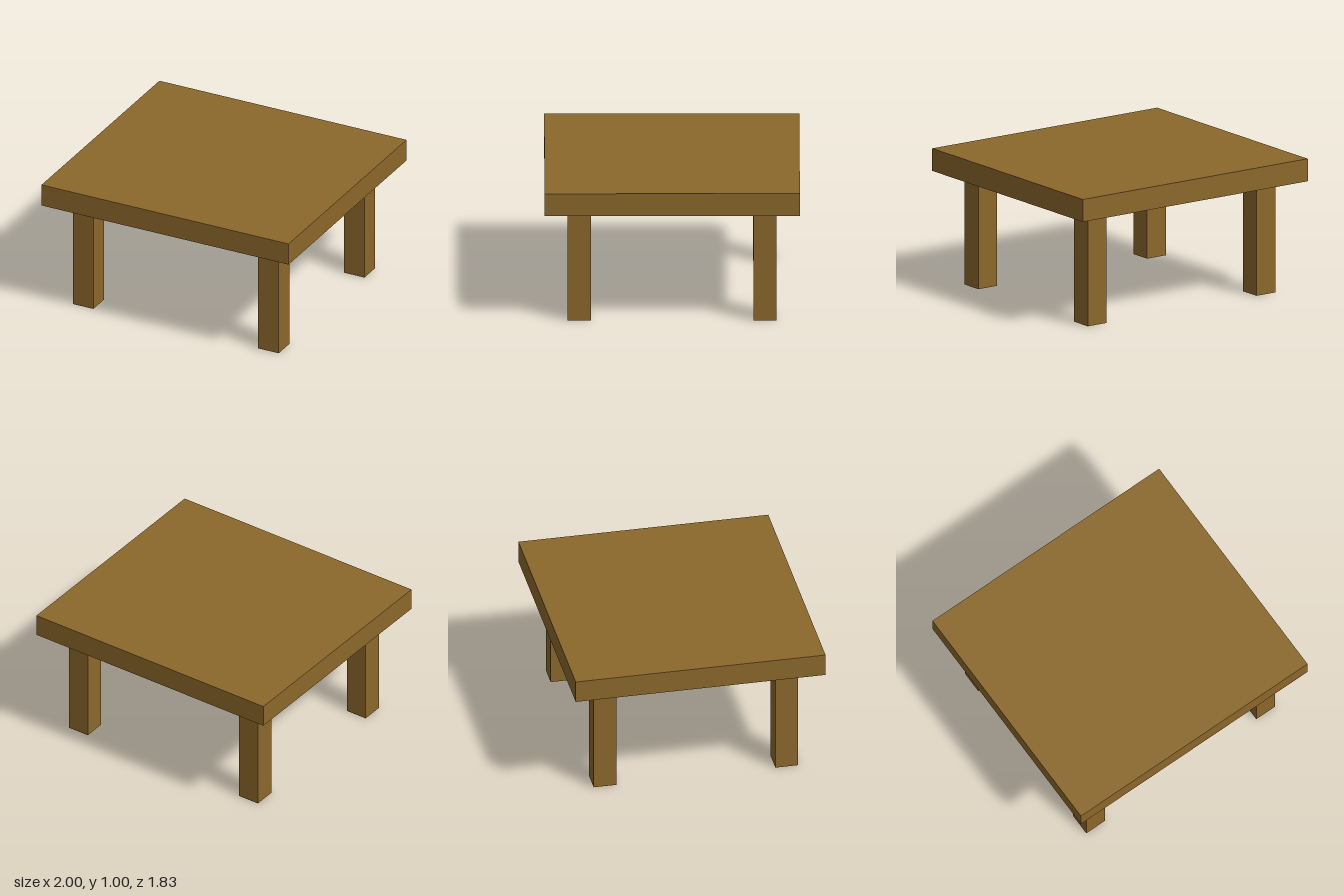
import * as THREE from 'three';

const U = 1 / 12; // modelling unit

export function createModel() {
  const table = new THREE.Group();
  table.name = 'table';

  const wood = new THREE.MeshStandardMaterial({ color: 0x8c682b });
  wood.name = 'brown wood';

  // Box given by size and the height of its underside
  const addBox = (name, w, h, d, x, bottom, z) => {
    const mesh = new THREE.Mesh(new THREE.BoxGeometry(w * U, h * U, d * U), wood);
    mesh.position.set(x * U, (bottom + h / 2) * U, z * U);
    mesh.name = name;
    table.add(mesh);
  };

  // Thick slab top
  addBox('tableTop', 24, 2, 22, 0, 10, 0);

  // Four square legs, inset from the corners
  for (const [side, x] of [['Left', 9], ['Right', -9]]) {
    for (const [end, z] of [['front', 8], ['back', -8]]) {
      addBox(`${end}${side}Leg`, 2, 10, 2, x, 0, z);
    }
  }

  return table;
}
